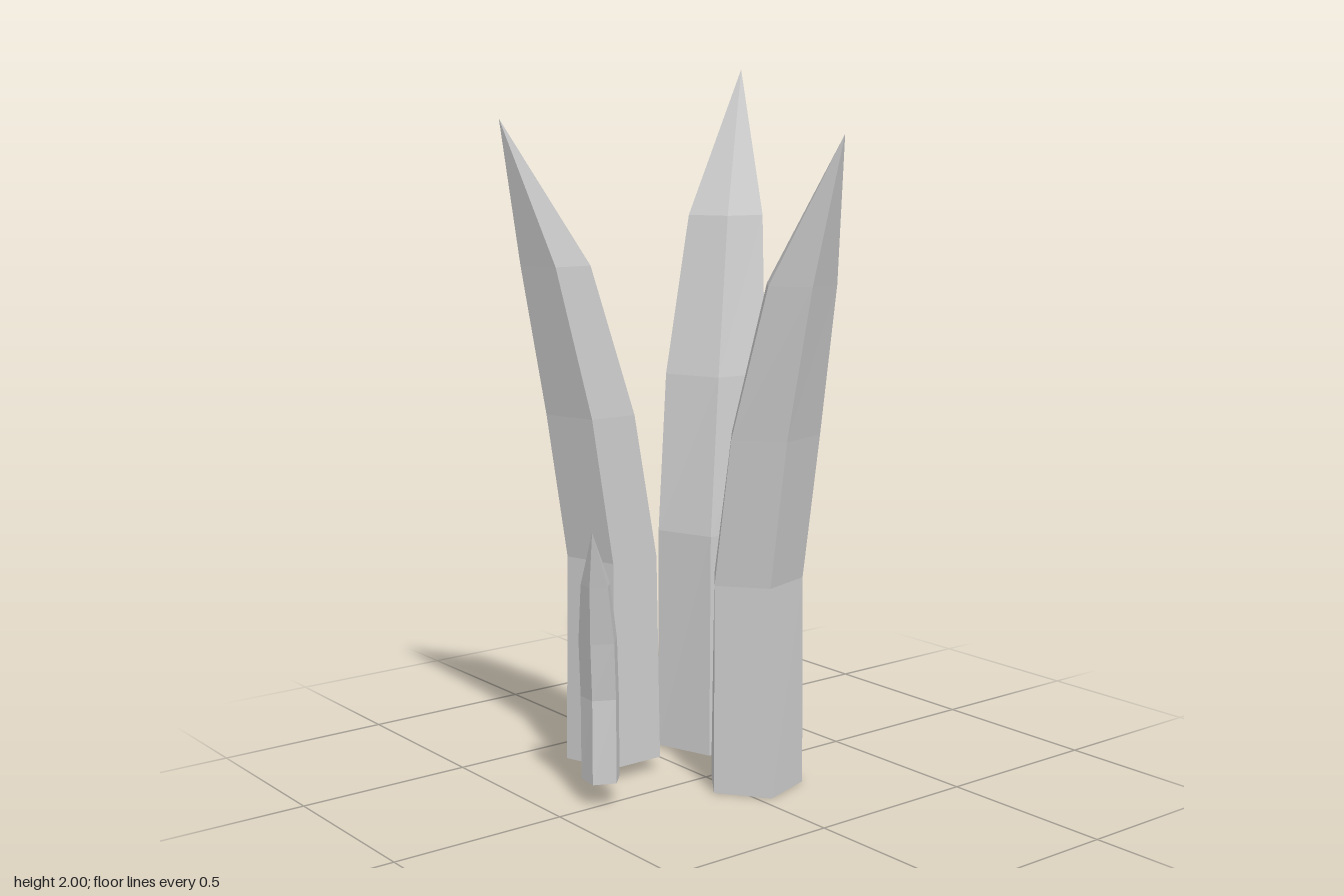
import * as THREE from 'three';

// Rings from base to tip: height, sideways bend, half size along and across the bend
const RINGS = [
  [0, 0, 0.14, 0.14],
  [0.59, 0.002, 0.127, 0.14],
  [1.0, 0.072, 0.121, 0.14],
  [1.415, 0.18, 0.096, 0.105],
  [1.805, 0.352, 0, 0],
];

// Five-sided pointed shard that bends towards +x
function shardGeometry() {
  const rows = RINGS.length - 1;
  const geo = new THREE.CylinderGeometry(0, 1, 1, 5, rows);
  const pos = geo.attributes.position;
  for (let i = 0; i < pos.count; i++) {
    const k = Math.round((pos.getY(i) + 0.5) * rows);
    const [y, bend, along, across] = RINGS[k];
    const r = k === rows ? 1 : Math.hypot(pos.getX(i), pos.getZ(i)) || 1;
    const c = Math.hypot(pos.getX(i), pos.getZ(i)) < 1e-6 ? 0 : 1 / r;
    pos.setXYZ(i, bend + pos.getX(i) * c * along, y, pos.getZ(i) * c * across);
  }
  const flat = geo.toNonIndexed();
  flat.computeVertexNormals();
  return flat;
}

export function createModel() {
  const group = new THREE.Group();
  group.name = 'crystalCluster';
  const geometry = shardGeometry();
  const material = new THREE.MeshStandardMaterial({ color: 0xcccccc, flatShading: true });

  // Base position, lean direction in degrees (0 = +x, 90 = +z), scale
  const shards = [
    ['leftCrystal', 0.115, 0, -0.077, 0, 1],
    ['frontRightCrystal', -0.24, 0.04, 0.15, 90, 1],
    ['backRightCrystal', -0.238, 0.01, -0.193, -126, 1.102],
    ['smallCrystal', -0.012, 0.07, 0.353, 43, 0.396],
  ];
  for (const [name, x, y, z, lean, scale] of shards) {
    const shard = new THREE.Mesh(geometry, material);
    shard.name = name;
    shard.position.set(x, y, z);
    shard.rotation.y = -THREE.MathUtils.degToRad(lean);
    shard.scale.setScalar(scale);
    group.add(shard);
  }
  return group;
}
